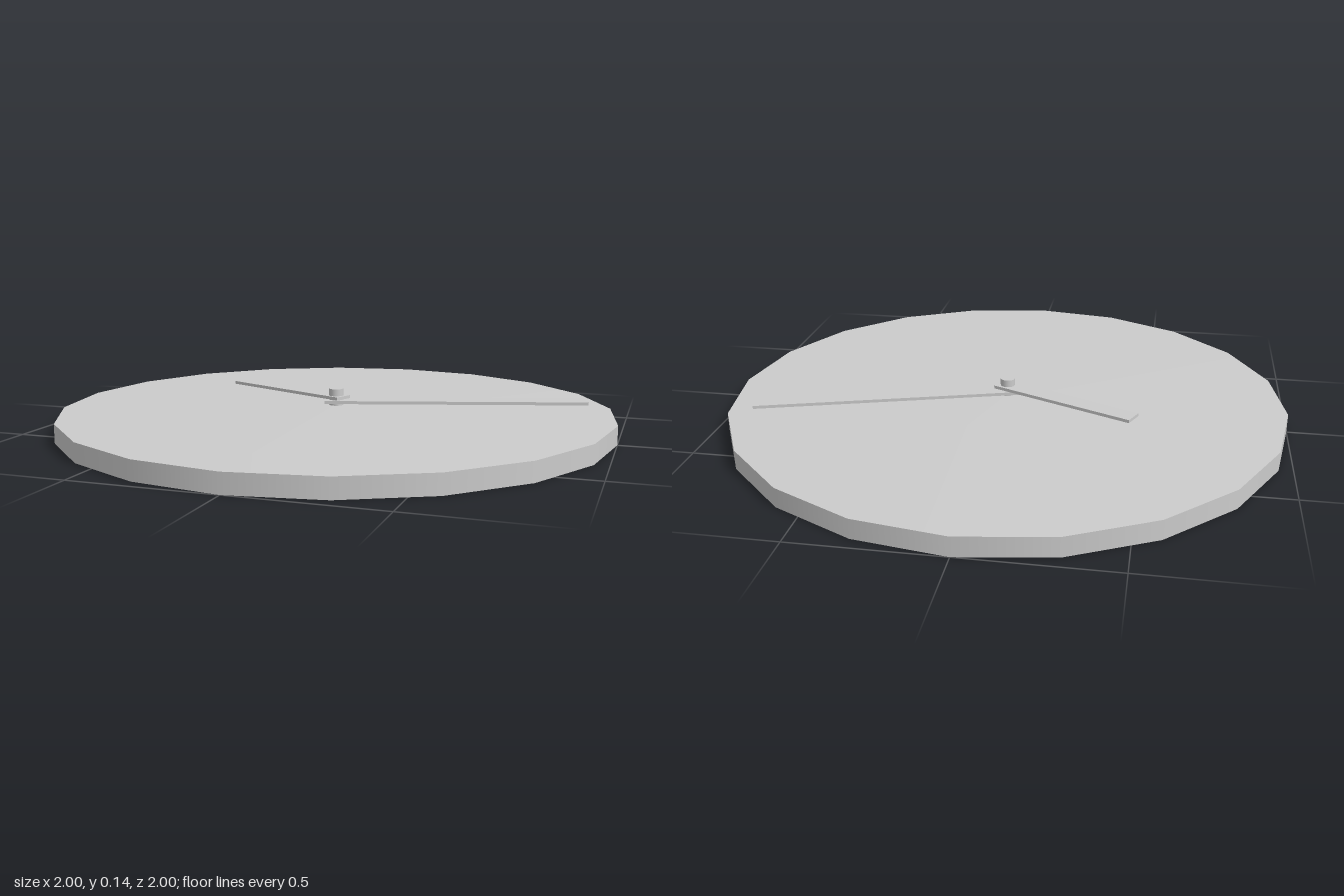
import * as THREE from 'three';

const SIDES = 20, RIM = 0.067, APEX = 0.08;

export function createModel() {
  const clock = new THREE.Group();
  clock.name = 'clock';
  const solid = new THREE.MeshStandardMaterial({ color: 0xcccccc });
  const shell = new THREE.MeshStandardMaterial({ color: 0xcccccc, side: THREE.DoubleSide });

  const add = (name, geometry, y, material = solid) => {
    const mesh = new THREE.Mesh(geometry, material);
    mesh.name = name;
    mesh.position.y = y;
    clock.add(mesh);
    return mesh;
  };

  // Thin case, open underneath: a rim wall and a very shallow conical face
  add('rim', new THREE.CylinderGeometry(1, 1, RIM, SIDES, 1, true), RIM / 2, shell);
  add('dialFace', new THREE.ConeGeometry(1, APEX - RIM, SIDES, 1, true), (RIM + APEX) / 2, shell);

  // Flat bar turned about the spindle, with a short tail behind the pivot
  const addHand = (name, length, tail, width, y, angle) => {
    const bar = new THREE.BoxGeometry(length + tail, 0.011, width);
    bar.translate((length - tail) / 2, 0, 0);
    add(name, bar, y, solid).rotation.y = angle;
  };
  addHand('minuteHand', 0.909, 0.042, 0.079, 0.094, THREE.MathUtils.degToRad(17.1));
  addHand('hourHand', 0.513, 0.036, 0.07, 0.109, THREE.MathUtils.degToRad(180 - 24.1));

  // Spindle passing through the face and both hands
  add('spindle', new THREE.CylinderGeometry(0.026, 0.026, 0.07, SIDES), 0.105);

  return clock;
}
